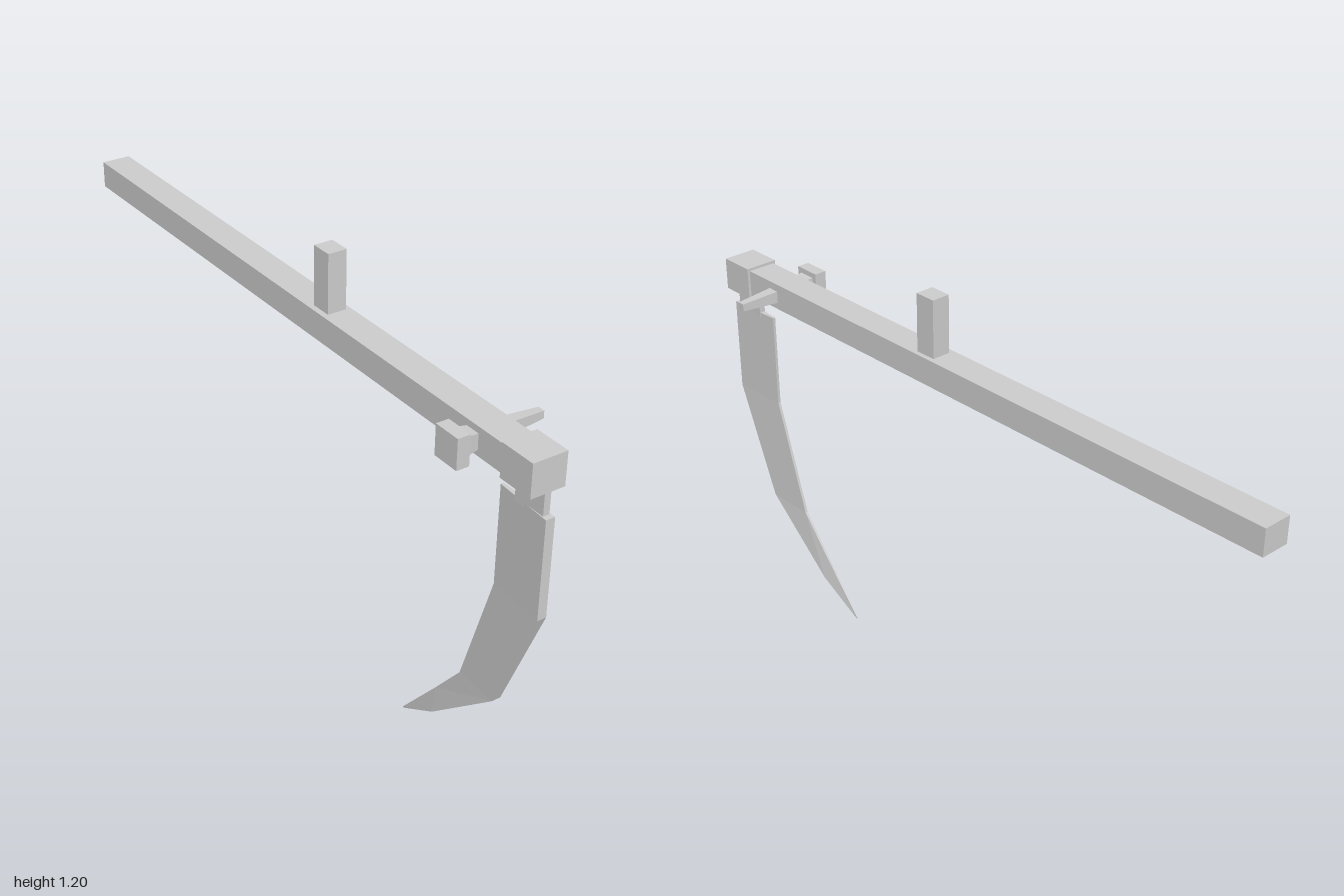
import * as THREE from 'three';

const CX = -0.02; // shared centre line of shaft, socket and blade

export function createModel() {
  const group = new THREE.Group();
  const material = new THREE.MeshStandardMaterial({ color: 0xcccccc, flatShading: true });

  function add(name, geometry) {
    const mesh = new THREE.Mesh(geometry, material);
    mesh.name = name;
    group.add(mesh);
    return mesh;
  }

  // Box given by its min and max corners
  function block(name, [x0, y0, z0], [x1, y1, z1]) {
    const mesh = add(name, new THREE.BoxGeometry(x1 - x0, y1 - y0, z1 - z0));
    mesh.position.set((x0 + x1) / 2, (y0 + y1) / 2, (z0 + z1) / 2);
  }

  // Square bar along x, tapering from size s0 at x0 to size s1 at x1
  function taperedBar(name, x0, x1, s0, s1, y, z) {
    const geometry = new THREE.BoxGeometry(x1 - x0, 1, 1);
    const p = geometry.attributes.position;
    for (let i = 0; i < p.count; i++) {
      const s = p.getX(i) < 0 ? s0 : s1;
      p.setXYZ(i, p.getX(i), p.getY(i) * s, p.getZ(i) * s);
    }
    geometry.computeVertexNormals();
    add(name, geometry).position.set((x0 + x1) / 2, y, z);
  }

  // Long shaft, its socket and the upright hand grip
  block('shaft', [-0.064, 0.959, -1], [0.02, 1.035, 0.9]);
  block('socket', [-0.07, 0.951, 0.88], [0.028, 1.043, 0.985]);
  block('handGrip', [-0.048, 1.03, 0.105], [0.006, 1.2, 0.168]);

  // Cross peg with a square knob on the right
  const pegY = 0.996, pegZ = 0.771;
  block('pegKnob', [-0.137, 0.954, pegZ - 0.04], [-0.101, 1.037, pegZ + 0.04]);
  taperedBar('pegNeck', -0.102, -0.06, 0.052, 0.042, pegY, pegZ);
  taperedBar('pegPoint', 0.015, 0.134, 0.035, 0.021, pegY, pegZ);

  // Blade neck
  block('bladeNeck', [CX - 0.009, 0.88, 0.888], [CX + 0.009, 0.96, 0.985]);

  // Blade: [spine z, spine y, edge z, edge y, spine half width, edge half width]
  const sections = [
    [1.0, 0.892, 0.832, 0.892, 0.013, 0.004],
    [1.0, 0.617, 0.832, 0.615, 0.013, 0.004],
    [0.865, 0.287, 0.727, 0.278, 0.013, 0.004],
    [0.635, 0.088, 0.633, 0.163, 0.012, 0.003],
    [0.5, 0.0, 0.499, 0.004, 0.001, 0.001],
  ];
  const positions = [], index = [0, 3, 2, 0, 2, 1];
  sections.forEach(([sz, sy, ez, ey, sw, ew], k) => {
    positions.push(CX + sw, sy, sz, CX - sw, sy, sz, CX - ew, ey, ez, CX + ew, ey, ez);
    if (k === 0) return;
    const a = (k - 1) * 4, b = k * 4;
    for (let i = 0; i < 4; i++) {
      const j = (i + 1) % 4;
      index.push(a + i, a + j, b + j, a + i, b + j, b + i);
    }
  });
  const end = (sections.length - 1) * 4;
  index.push(end, end + 1, end + 2, end, end + 2, end + 3);
  let blade = new THREE.BufferGeometry();
  blade.setAttribute('position', new THREE.Float32BufferAttribute(positions, 3));
  blade.setIndex(index);
  blade = blade.toNonIndexed();
  blade.computeVertexNormals();
  add('blade', blade);

  return group;
}
